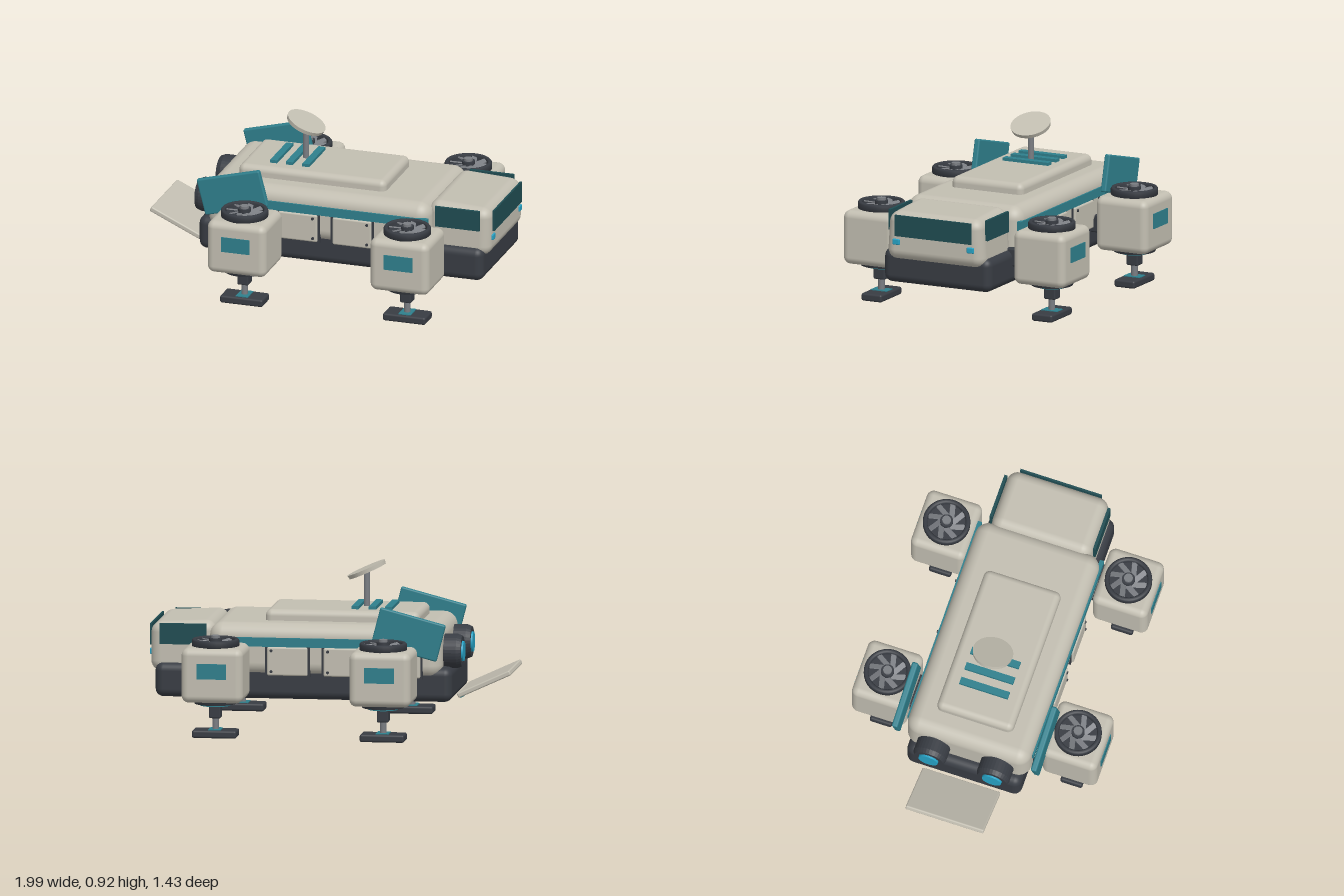
import * as THREE from 'three';
import { RoundedBoxGeometry } from 'three/addons/geometries/RoundedBoxGeometry.js';

const mat = (name, color) => Object.assign(new THREE.MeshStandardMaterial({ color }), { name });

export function createModel() {
  const root = new THREE.Group();
  root.name = 'roverLander';
  const M = {
    shell: mat('warm grey shell', 0xc2beb1),
    dark: mat('charcoal', 0x383c43),
    teal: mat('teal trim', 0x2f7f8c),
    glass: mat('dark teal glass', 0x1f4c52),
    glow: mat('cyan glow', 0x27a3c6),
    metal: mat('grey metal', 0x7a7d82),
  };

  const add = (parent, name, geo, m, x = 0, y = 0, z = 0) => {
    const mesh = new THREE.Mesh(geo, m);
    mesh.name = name;
    mesh.position.set(x, y, z);
    parent.add(mesh);
    return mesh;
  };
  // Boxes are given by their extents; r > 0 rounds the edges
  const box = (parent, name, m, [x0, x1], [y0, y1], [z0, z1], r = 0) => {
    const s = [x1 - x0, y1 - y0, z1 - z0];
    const geo = r ? new RoundedBoxGeometry(...s, 4, r) : new THREE.BoxGeometry(...s);
    return add(parent, name, geo, m, (x0 + x1) / 2, (y0 + y1) / 2, (z0 + z1) / 2);
  };
  const cyl = (parent, name, m, r, y0, y1, r0 = r, n = 32) =>
    add(parent, name, new THREE.CylinderGeometry(r, r0, y1 - y0, n), m, 0, (y0 + y1) / 2, 0);

  // Hull, cabin and roof
  box(root, 'lowerHull', M.dark, [-0.69, 0.95], [0.185, 0.375], [-0.33, 0.33], 0.045);
  box(root, 'mainBody', M.shell, [-0.635, 0.65], [0.315, 0.605], [-0.355, 0.355], 0.075);
  box(root, 'roofDeck', M.shell, [-0.495, 0.355], [0.57, 0.665], [-0.22, 0.22], 0.035);

  // Cockpit, narrowing and dropping slightly toward the top front
  const cockpit = box(root, 'cockpit', M.shell, [0.62, 0.98], [0.32, 0.608], [-0.3, 0.3], 0.06);
  const p = cockpit.geometry.attributes.position;
  for (let i = 0; i < p.count; i++) {
    const up = Math.max(0, p.getY(i) / 0.144), fore = (p.getX(i) + 0.18) / 0.36;
    p.setZ(i, p.getZ(i) * (1 - 0.06 * up));
    p.setY(i, p.getY(i) - 0.018 * up * fore);
  }
  box(root, 'windshield', M.glass, [0.979, 0.99], [0.46, 0.578], [-0.235, 0.235]);

  // Roof vents, mast and dish
  for (const x of [-0.315, -0.225, -0.13])
    box(root, 'roofVent', M.teal, [x - 0.02, x + 0.02], [0.66, 0.682], [-0.14, 0.14]);
  const antenna = new THREE.Group();
  antenna.name = 'antenna';
  antenna.position.x = -0.175;
  root.add(antenna);
  cyl(antenna, 'mast', M.metal, 0.017, 0.66, 0.86);
  cyl(antenna, 'dish', M.shell, 0.112, 0.855, 0.877, 0.108, 40).rotation.z = -0.42;

  // Rear loading ramp
  const ramp = new THREE.Group();
  ramp.name = 'ramp';
  ramp.position.set(-0.853, 0.277, 0);
  ramp.rotation.z = -0.43;
  root.add(ramp);
  box(ramp, 'rampPlate', M.shell, [-0.16, 0.16], [-0.014, 0.014], [-0.225, 0.225], 0.008);
  box(ramp, 'rampHinge', M.teal, [0.135, 0.155], [-0.018, -0.013], [-0.2, 0.2]);

  // Parts mirrored on both sides
  for (const s of [1, -1]) {
    const sides = (a, b) => (s > 0 ? [a, b] : [-b, -a]);
    box(root, 'sideWindow', M.glass, [0.67, 0.925], [0.475, 0.59], sides(0.29, 0.306));
    box(root, 'headlight', M.glow, [0.96, 0.988], [0.41, 0.443], sides(0.207, 0.25), 0.006);
    box(root, 'sideStripe', M.teal, [-0.55, 0.645], [0.48, 0.53], sides(0.34, 0.364));

    // Storage hatches with dark frames and bolts
    for (const x of [-0.41, -0.1, 0.212]) {
      box(root, 'hatchFrame', M.dark, [x - 0.124, x + 0.124], [0.315, 0.487], sides(0.34, 0.36));
      box(root, 'hatch', M.shell, [x - 0.112, x + 0.112], [0.322, 0.48], sides(0.34, 0.372), 0.01);
      for (const y of [0.345, 0.46]) {
        const bolt = add(root, 'hatchBolt', new THREE.CylinderGeometry(0.008, 0.008, 0.008, 12),
          M.dark, x + 0.088, y, s * 0.374);
        bolt.rotation.x = Math.PI / 2;
      }
    }

    // Tilted fin
    const fin = box(root, 'fin', M.teal, [-0.649, -0.277], [0.466, 0.674], sides(0.384, 0.418), 0.009);
    fin.rotation.z = 0.255;

    // Rear engine
    const engine = new THREE.Group();
    engine.name = 'engine';
    engine.position.set(-0.6, 0.453, s * 0.183);
    engine.rotation.z = Math.PI / 2;
    root.add(engine);
    const ring = [[0, -0.03], [0.094, -0.03], [0.094, 0.105], [0.084, 0.13], [0.06, 0.13], [0.06, 0.12], [0, 0.12]];
    const bell = new THREE.LatheGeometry(ring.map(([r, y]) => new THREE.Vector2(r, y)), 32);
    bell.deleteAttribute('normal');
    const flat = bell.toNonIndexed();
    flat.computeVertexNormals();
    add(engine, 'engineBell', flat, M.dark);
    cyl(engine, 'engineGlow', M.glow, 0.055, 0.11, 0.139, 0.058);

    // Thruster pods on arms
    for (const [x, z] of [[0.585, 0.525], [-0.345, 0.55]]) {
      box(root, 'podArm', M.dark, [x - 0.095, x + 0.095], [0.285, 0.385], sides(0.27, z - 0.12), 0.01);
      const pod = new THREE.Group();
      pod.name = 'thrusterPod';
      pod.position.set(x, 0, s * z);
      root.add(pod);
      buildPod(pod, s);
    }
  }

  function buildPod(pod, s) {
    box(pod, 'podShell', M.shell, [-0.17, 0.17], [0.205, 0.506], [-0.158, 0.158], 0.04);
    const f = s * 0.159;
    box(pod, 'podPlate', M.teal, [-0.082, 0.082], [0.34, 0.425], [f - 0.004, f + 0.004]);

    // Fan: rim, floor, swept blades and hub
    const rim = [[0.105, 0.5], [0.13, 0.5], [0.13, 0.536], [0.124, 0.544], [0.111, 0.544], [0.105, 0.536], [0.105, 0.5]];
    add(pod, 'fanRim', new THREE.LatheGeometry(rim.map(([r, y]) => new THREE.Vector2(r, y)), 36), M.dark);
    cyl(pod, 'fanFloor', M.dark, 0.108, 0.5, 0.515);
    for (let i = 0; i < 8; i++) {
      const arm = new THREE.Group();
      arm.name = 'fanBlade';
      arm.rotation.y = (i * Math.PI) / 4;
      pod.add(arm);
      const blade = box(arm, 'blade', M.metal, [0.018, 0.106], [0.523, 0.529], [-0.004, 0.026]);
      blade.rotation.set(0.35, 0.25, 0);
    }
    cyl(pod, 'fanHub', M.dark, 0.036, 0.51, 0.548);
    cyl(pod, 'fanCap', M.metal, 0.024, 0.545, 0.562);

    // Landing leg
    cyl(pod, 'nozzleRing', M.dark, 0.125, 0.187, 0.215, 0.115);
    cyl(pod, 'nozzleGlow', M.teal, 0.085, 0.177, 0.19);
    box(pod, 'legSleeve', M.dark, [-0.032, 0.032], [0.107, 0.185], [-0.035, 0.035], 0.008);
    cyl(pod, 'legRod', M.metal, 0.018, 0.035, 0.115, 0.018, 16);
    box(pod, 'footPad', M.dark, [-0.123, 0.123], [0, 0.043], [-0.063, 0.063], 0.012);
    box(pod, 'footPlate', M.teal, [-0.035, 0.035], [0.041, 0.047], [-0.05, 0.05]);
  }

  return root;
}
